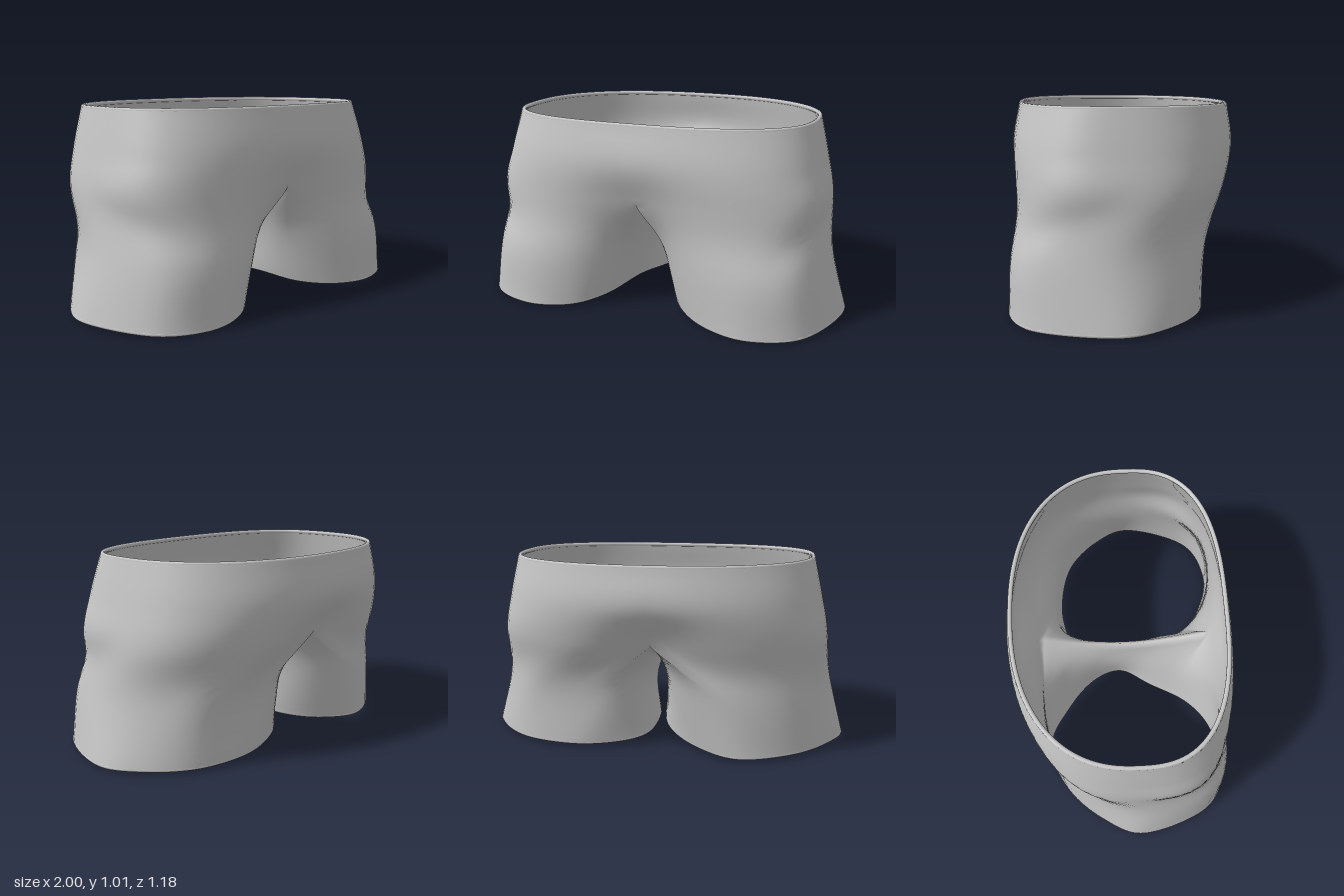
import * as THREE from 'three';
import { mergeVertices } from 'three/addons/utils/BufferGeometryUtils.js';

const SUB = 5;          // samples between neighbouring ring points
const OUT = 7 * SUB;    // last column of the outer panel
const ALL = 12 * SUB;   // columns round a whole leg
const STEP = 8;         // rows between key rings
const THICK = 0.02;     // cloth thickness
const V = (x, y, z) => new THREE.Vector3(x, y, z);

// Half oval of the body from front centre round the side to back centre,
// boxier in front than behind
function bodyRing(y, halfWidth, front, back, frontPower, backPower, pinch) {
  const pts = [];
  const mid = 0.045;
  for (let j = 0; j <= OUT; j++) {
    const a = (j / OUT) * Math.PI;
    const s = Math.sin(a), c = Math.cos(a);
    const power = c > 0 ? frontPower : backPower;
    const r = Math.pow(Math.pow(Math.abs(s), power) + Math.pow(Math.abs(c), power), -1 / power);
    const x = j === 0 || j === OUT ? 0 : halfWidth * r * s;
    const dent = 1 - pinch * Math.exp(-Math.pow(x / 0.25, 2));
    const z = mid + r * c * (c > 0 ? front - mid : mid - back) * dent;
    pts.push(V(x, y, z));
  }
  return pts;
}

// Closed leg outline through twelve points
function legRing(points) {
  const curve = new THREE.CatmullRomCurve3(points.map(p => V(...p)), true, 'catmullrom', 0.5);
  return Array.from({ length: ALL }, (_, j) => curve.getPoint(j / ALL));
}

const waist = bodyRing(1.0, 0.81, 0.537, -0.567, 2.7, 2.3, 0);
const hip = bodyRing(0.8, 0.855, 0.568, -0.587, 3.0, 2.35, 0);
const fork = bodyRing(0.6, 0.892, 0.563, -0.54, 3.4, 2.45, 0.12);

// Leg outlines, in order: front, outer side, back, then the inside of the thigh.
// The back of the left leg is tucked further in than the right.
const legs = [
  {
    name: 'left', side: 1,
    thigh: legRing([
      [0.11, 0.36, 0.4], [0.34, 0.34, 0.54], [0.62, 0.33, 0.56], [0.83, 0.33, 0.44],
      [0.922, 0.33, 0.12], [0.845, 0.33, -0.16], [0.65, 0.33, -0.355], [0.3, 0.33, -0.395],
      [0.13, 0.33, -0.34], [0.06, 0.31, -0.21], [0.045, 0.3, 0], [0.07, 0.32, 0.21]]),
    hem: legRing([
      [0.2, 0.04, 0.4], [0.38, 0.017, 0.535], [0.62, 0.012, 0.587], [0.87, 0.015, 0.465],
      [1, 0.018, 0.1], [0.915, 0.022, -0.135], [0.715, 0.025, -0.32], [0.43, 0.025, -0.38],
      [0.19, 0.035, -0.33], [0.045, 0.06, -0.23], [0.015, 0.1, -0.02], [0.09, 0.085, 0.2]])
  },
  {
    name: 'right', side: -1,
    thigh: legRing([
      [0.12, 0.36, 0.4], [0.34, 0.34, 0.54], [0.62, 0.33, 0.56], [0.83, 0.33, 0.44],
      [0.922, 0.33, 0.12], [0.845, 0.33, -0.16], [0.66, 0.33, -0.375], [0.34, 0.33, -0.465],
      [0.14, 0.33, -0.36], [0.05, 0.31, -0.18], [0.03, 0.3, 0], [0.06, 0.32, 0.2]]),
    hem: legRing([
      [0.22, 0.05, 0.4], [0.38, 0.017, 0.535], [0.62, 0.012, 0.587], [0.87, 0.015, 0.465],
      [1, 0.018, 0.1], [0.915, 0.022, -0.135], [0.725, 0.025, -0.345], [0.45, 0.025, -0.455],
      [0.22, 0.035, -0.34], [0.06, 0.07, -0.18], [0.015, 0.11, 0], [0.11, 0.1, 0.18]])
  }
];

// Seam between the legs, sagging from back to front
function crotchPoint(j) {
  const t = (j - OUT) / (ALL - OUT);
  const z = THREE.MathUtils.lerp(fork[OUT].z, fork[0].z, t);
  return V(0, 0.6 - 0.13 * Math.sin(Math.PI * t), z);
}

// Column of points running down the cloth
function column(keys) {
  const curve = new THREE.CatmullRomCurve3(keys, false, 'catmullrom', 0.5);
  const n = (keys.length - 1) * STEP;
  return Array.from({ length: n + 1 }, (_, i) => {
    const p = curve.getPoint(i / n);
    p.x = Math.max(p.x, 0);
    return p;
  });
}

// Outer and inner panels of one half
function panels({ thigh, hem }) {
  const outer = [], inner = [];
  for (let j = 0; j <= OUT; j++) outer.push(column([waist[j], hip[j], fork[j], thigh[j], hem[j]]));
  // body rows stay on the centre line and are the same on both halves
  for (const j of [0, OUT]) {
    const seam = column([waist[j], hip[j], fork[j]]);
    seam.forEach((p, i) => outer[j][i].copy(p));
  }
  inner.push(outer[OUT].slice(2 * STEP));
  for (let j = OUT + 1; j < ALL; j++) inner.push(column([crotchPoint(j), thigh[j], hem[j]]));
  inner.push(outer[0].slice(2 * STEP));
  return [outer, inner];
}

function clothGeometry() {
  const pos = [], index = [];
  for (const leg of legs) {
    for (const panel of panels(leg)) {
      const base = pos.length / 3, rows = panel[0].length;
      for (const col of panel) for (const p of col) pos.push(leg.side * p.x, p.y, p.z);
      for (let j = 0; j < panel.length - 1; j++) {
        for (let i = 0; i < rows - 1; i++) {
          const a = base + j * rows + i, b = a + 1, c = a + rows, d = c + 1;
          if (leg.side > 0) index.push(a, b, c, b, d, c);
          else index.push(a, c, b, b, c, d);
        }
      }
    }
  }
  const geo = new THREE.BufferGeometry();
  geo.setAttribute('position', new THREE.Float32BufferAttribute(pos, 3));
  geo.setIndex(index);
  const welded = mergeVertices(geo, 1e-4);
  welded.computeVertexNormals();
  return welded;
}

// Inner face of the cloth, set in along the normals
function liningGeometry(body) {
  const geo = body.clone();
  const { position, normal } = geo.attributes;
  const p = V(0, 0, 0), n = V(0, 0, 0);
  for (let i = 0; i < position.count; i++) {
    p.fromBufferAttribute(position, i).addScaledVector(n.fromBufferAttribute(normal, i), -THICK);
    position.setXYZ(i, p.x, p.y, p.z);
  }
  return geo;
}

export function createModel() {
  const group = new THREE.Group();
  group.name = 'shorts';
  const cloth = new THREE.MeshStandardMaterial({ color: 0xc4c4c4, side: THREE.DoubleSide });
  cloth.name = 'greyCloth';

  const add = (name, geometry) => {
    const mesh = new THREE.Mesh(geometry, cloth);
    mesh.name = name;
    group.add(mesh);
  };
  // Rolled edge joining the cloth and its lining
  const edge = (name, pts, radius) => {
    const path = pts.map((p, i) => {
      const next = pts[(i + 1) % pts.length], prev = pts.at(i - 1);
      const inward = V(prev.z - next.z, 0, next.x - prev.x).setLength(radius);
      const centre = V(0, 0, 0).addScaledVector(pts[0], 0.5).addScaledVector(pts[pts.length >> 1], 0.5);
      if (inward.dot(centre.sub(p)) < 0) inward.negate();
      return p.clone().add(inward);
    });
    add(name, new THREE.TubeGeometry(new THREE.CatmullRomCurve3(path, true), 160, radius, 10, true));
  };
  const mirror = p => V(-p.x, p.y, p.z);

  const body = clothGeometry();
  add('shortsBody', body);
  add('lining', liningGeometry(body));
  edge('waistband', [...waist, ...waist.slice(1, -1).reverse().map(mirror)], 0.012);
  for (const { name, side, hem } of legs) edge(name + 'Hem', side > 0 ? hem : hem.map(mirror), 0.011);
  return group;
}
